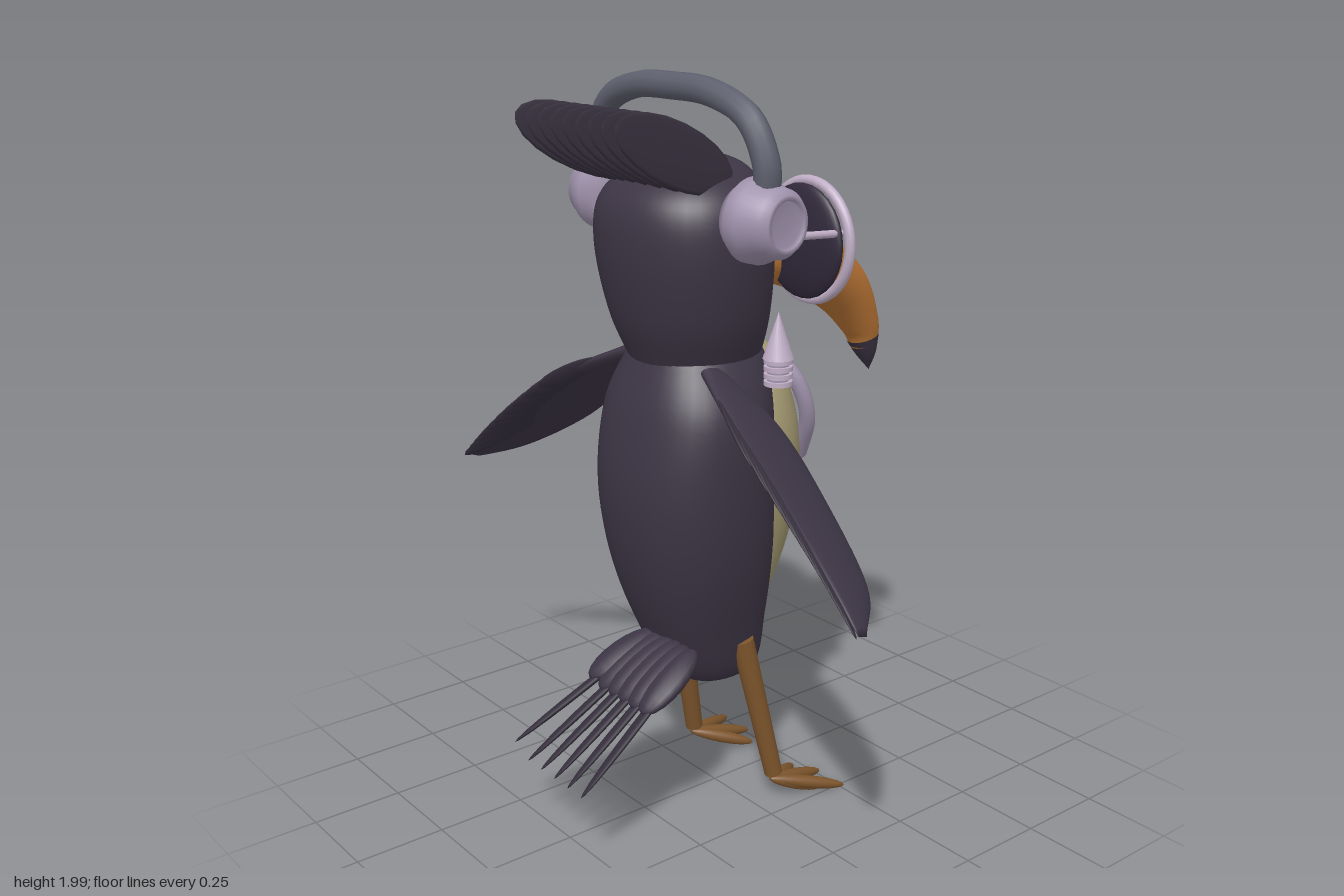
import * as THREE from 'three';
import { ParametricGeometry } from 'three/addons/geometries/ParametricGeometry.js';

const V = (x, y, z) => new THREE.Vector3(x, y, z);
const paint = (name, color, side = THREE.FrontSide) => {
  const m = new THREE.MeshStandardMaterial({ color, side });
  m.name = name;
  return m;
};

export function createModel() {
  const model = new THREE.Group();
  model.name = 'bird';
  const plumage = paint('plumage', 0x3d3545);
  const feather = paint('feather', 0x38313f);
  const cream = paint('cream', 0xa0966f);
  const orange = paint('orange', 0xb87435);
  const brown = paint('brown', 0x7d552c);
  const lilac = paint('lilac', 0xa093ad);
  const pink = paint('pale pink', 0xc0aec6);
  const slate = paint('slate', 0x5e606e);
  const lensDark = paint('lens', 0x30283a);

  const add = (name, geometry, material, parent = model) => {
    const mesh = new THREE.Mesh(geometry, material);
    mesh.name = name;
    parent.add(mesh);
    return mesh;
  };
  const group = (name) => {
    const g = new THREE.Group();
    g.name = name;
    model.add(g);
    return g;
  };
  const curve = (pts) => new THREE.CatmullRomCurve3(pts, false, 'catmullrom', 0.5);
  const tube = (name, pts, r, mat, parent, n = 24) =>
    add(name, new THREE.TubeGeometry(curve(pts), n, r, 10), mat, parent);

  // Smooth skin over elliptical sections [y, z, halfWidth, halfDepth]
  const loft = (name, secs, mat, level = true, power = 1) => {
    const path = curve(secs.map((s) => V(0, s[0], s[1])));
    const size = curve(secs.map((s) => V(s[2], s[3], 0)));
    const X = V(1, 0, 0);
    const soft = (c) => Math.sign(c) * Math.abs(c) ** power;
    return add(name, new ParametricGeometry((u, v, out) => {
      const r = size.getPoint(v), a = u * Math.PI * 2;
      const n = level ? V(0, 0, -1) : path.getTangent(v).cross(X).normalize();
      out.copy(path.getPoint(v))
        .addScaledVector(X, Math.max(r.x, 0) * soft(Math.cos(a)))
        .addScaledVector(n, Math.max(r.y, 0) * soft(Math.sin(a)));
    }, 36, 40), mat);
  };

  // Flat leaf-shaped feather from a to b, spread along side
  const blade = (name, a, b, side, width, thick, mat, parent) => {
    const d = b.clone().sub(a), len = d.length();
    d.normalize();
    const n = side.clone().cross(d).normalize();
    const w = d.clone().cross(n);
    const g = new THREE.SphereGeometry(1, 12, 10);
    g.scale(width / 2, len / 2, thick / 2);
    g.applyMatrix4(new THREE.Matrix4().makeBasis(w, d, n).setPosition(a.clone().lerp(b, 0.5)));
    return add(name, g, mat, parent);
  };

  // Tapered rod between two points
  const rod = (name, a, b, r0, r1, mat, parent) => {
    const d = b.clone().sub(a);
    const mesh = add(name, new THREE.CylinderGeometry(r1, r0, d.length(), 12), mat, parent);
    mesh.position.copy(a).lerp(b, 0.5);
    mesh.quaternion.setFromUnitVectors(V(0, 1, 0), d.normalize());
    return mesh;
  };

  // Body, belly, head and beak
  loft('body', [[0.38, 0.017, 0, 0], [0.38, 0.017, 0.11, 0.118], [0.55, 0.055, 0.17, 0.175],
    [0.75, 0.085, 0.22, 0.207], [0.95, 0.1, 0.24, 0.212], [1.15, 0.088, 0.235, 0.195],
    [1.28, 0.065, 0.18, 0.17], [1.31, 0.065, 0.15, 0.15]], plumage, true, 0.85);
  loft('belly', [[0.52, -0.1, 0, 0], [0.53, -0.1, 0.055, 0.03], [0.7, -0.1, 0.125, 0.1],
    [0.9, -0.1, 0.172, 0.132], [1.1, -0.1, 0.178, 0.112], [1.28, -0.09, 0.12, 0.06],
    [1.3, -0.09, 0, 0]], cream);
  loft('head', [[1.27, 0.065, 0.165, 0.165], [1.4, 0.085, 0.217, 0.195], [1.57, 0.1, 0.245, 0.21],
    [1.69, 0.103, 0.23, 0.193], [1.76, 0.08, 0.165, 0.14], [1.79, 0.045, 0.07, 0.06],
    [1.792, 0.04, 0, 0]], plumage, true, 0.92);
  loft('beak', [[1.52, -0.07, 0.13, 0.09], [1.515, -0.2, 0.12, 0.085], [1.47, -0.33, 0.1, 0.09],
    [1.385, -0.45, 0.08, 0.08], [1.28, -0.525, 0.056, 0.057], [1.215, -0.547, 0.04, 0.042]], orange, false);
  loft('beakTip', [[1.235, -0.541, 0.047, 0.049], [1.18, -0.558, 0.028, 0.028],
    [1.13, -0.57, 0, 0]], plumage, false);

  // Crest: row of thin upright feathers
  const crest = group('crest');
  for (let i = 0; i < 9; i++) {
    const x = (i - 4) * 0.047;
    blade('crestFeather', V(x * 0.9, 1.745, 0.08), V(x * 1.12, 1.905, 0.455), V(0, 1, 0), 0.155, 0.013, feather, crest);
  }

  // Tail: fan swept slightly to one side
  const tail = group('tail');
  for (let i = 0; i < 6; i++) {
    const tip = V(-0.13 + i * 0.062, 0.235 + (i === 0 ? 0.03 : 0), 0.58);
    const base = V(0.0 + i * 0.033, 0.53, 0.2);
    const mid = base.clone().lerp(tip, 0.5).add(V(0.015, 0.03, 0));
    blade('tailFeather', base, tip, V(0.75, 0.45, 0.3), 0.085, 0.022, feather, tail);
    blade('tailCovert', base, mid, V(1, 0, 0), 0.1, 0.06, plumage, tail);
  }

  // Wings: thin blade skin between leading and trailing edges, with layered flight feathers
  const wing = (s) => {
    const g = group(s > 0 ? 'leftWing' : 'rightWing');
    const lead = curve([V(s * 0.16, 1.25, 0.09), V(s * 0.32, 1.14, 0.045), V(s * 0.5, 1.0, 0.055),
      V(s * 0.72, 0.87, 0.125), V(s * 0.84, 0.82, 0.24)]);
    const trail = curve([V(s * 0.16, 1.28, 0.17), V(s * 0.35, 1.19, 0.23), V(s * 0.58, 1.04, 0.255),
      V(s * 0.74, 0.92, 0.265), V(s * 0.845, 0.83, 0.27)]);
    const T = V(s * 0.82, -0.57, 0);
    add('wingSkin', new ParametricGeometry((u, v, out) => {
      const a = lead.getPoint(v), b = trail.getPoint(v), ang = u * Math.PI * 2;
      const h = b.clone().sub(a).multiplyScalar(0.5);
      const n = T.clone().cross(h).normalize();
      const t = 0.022 * Math.sqrt(Math.max(0, 1 - v * v));
      out.copy(a).lerp(b, 0.5).addScaledVector(h, Math.cos(ang)).addScaledVector(n, t * Math.sin(ang));
    }, 24, 28), plumage, g);
    for (let i = 0; i < 10; i++) {
      const t = 0.36 + i * 0.07;
      const end = trail.getPoint(Math.min(t, 1)).add(V(s * 0.01, -0.005, 0.012));
      const start = lead.getPoint(t * 0.35).lerp(trail.getPoint(t * 0.35), 0.55 + 0.04 * (9 - i));
      blade('flightFeather', start, end, V(0, 0.75, 0.65), 0.06, 0.016, feather, g);
    }
  };

  // Paired parts
  const phones = group('headphones');
  const glasses = group('glasses');
  for (const s of [-1, 1]) {
    wing(s);

    // Leg and foot
    const leg = group(s > 0 ? 'leftLeg' : 'rightLeg');
    rod('shin', V(s * 0.18, 0.08, -0.067), V(s * 0.142, 0.5, 0.018), 0.025, 0.031, brown, leg);
    for (const [x, z] of [[-0.09, -0.22], [-0.02, -0.26], [0.085, -0.26], [0.05, -0.2]]) {
      blade('toe', V(s * 0.18, 0.065, -0.055), V(s * (0.18 + x), 0.01, z), V(1, 0, 0), 0.036, 0.036, brown, leg);
    }

    // Ear cup
    const profile = [[0, -0.07], [0.08, -0.07], [0.104, -0.035], [0.104, 0], [0.088, 0.035], [0.084, 0.06],
      [0.07, 0.078], [0.058, 0.078], [0.055, 0.066], [0, 0.068]].map((p) => new THREE.Vector2(...p));
    const cup = add('earCup', new THREE.LatheGeometry(profile, 32), lilac, phones);
    cup.position.set(s * 0.322, 1.67, 0.11);
    cup.rotation.set(0, s * 0.12, -s * Math.PI / 2);

    // Glasses: rim, lens and temple
    const rim = add('rim', new THREE.TorusGeometry(0.152, 0.014, 10, 40), pink, glasses);
    rim.position.set(s * 0.177, 1.575, -0.168);
    const lens = add('lens', new THREE.SphereGeometry(0.148, 28, 14), lensDark, glasses);
    lens.scale.z = 0.2;
    lens.position.set(s * 0.177, 1.575, -0.145);
    rod('temple', V(s * 0.305, 1.61, -0.16), V(s * 0.305, 1.622, 0.05), 0.01, 0.01, pink, glasses);

    // Shoulder spike on stacked rings
    const spike = group('shoulderSpike');
    spike.position.set(s * 0.255, 0, 0);
    add('spikeCone', new THREE.ConeGeometry(0.04, 0.12, 16), pink, spike).position.y = 1.365;
    for (let i = 0; i < 4; i++) {
      add('spikeRing', new THREE.CylinderGeometry(0.037, 0.037, 0.012, 16), pink, spike).position.y = 1.243 + i * 0.019;
    }
    add('spikeCore', new THREE.CylinderGeometry(0.028, 0.028, 0.07, 12), lilac, spike).position.y = 1.275;

    // Chest strap
    tube('chestStrap', [V(s * 0.125, 1.28, -0.1), V(s * 0.175, 1.2, -0.14), V(s * 0.175, 1.1, -0.175),
      V(s * 0.11, 0.98, -0.205)], 0.022, lilac);
  }

  // Headband, bridge and cable
  tube('headband', [V(-0.33, 1.72, 0.11), V(-0.335, 1.81, 0.115), V(-0.28, 1.91, 0.125), V(-0.15, 1.958, 0.13),
    V(0, 1.965, 0.13), V(0.15, 1.958, 0.13), V(0.28, 1.91, 0.125), V(0.335, 1.81, 0.115), V(0.33, 1.72, 0.11)],
  0.034, slate, phones, 48);
  tube('bridge', [V(-0.05, 1.6, -0.17), V(0, 1.625, -0.195), V(0.05, 1.6, -0.17)], 0.011, pink, glasses);
  tube('cable', [V(-0.3, 1.58, 0.08), V(-0.28, 1.48, 0.03), V(-0.255, 1.35, 0), V(-0.23, 1.2, -0.1),
    V(-0.15, 1.06, -0.18)], 0.008, pink);

  // Musical notes floating before the belly
  const notes = group('notes');
  const note = (x, y, h) => {
    const head = add('noteHead', new THREE.SphereGeometry(0.024, 14, 10), pink, notes);
    head.position.set(x, y, -0.25);
    head.scale.set(1.2, 0.85, 0.6);
    tube('noteStem', [V(x + 0.024, y, -0.245), V(x + 0.03, y + h * 0.6, -0.245), V(x + 0.02, y + h, -0.245),
      V(x + 0.055, y + h - 0.03, -0.24)], 0.008, pink, notes);
  };
  note(0, 1.075, 0.12);
  note(0.02, 0.895, 0.13);
  tube('noteFlourish', [V(-0.1, 1.16, -0.22), V(-0.085, 1.09, -0.235), V(-0.04, 1.03, -0.245), V(-0.03, 0.97, -0.245)],
    0.008, lilac, notes);

  return model;
}
